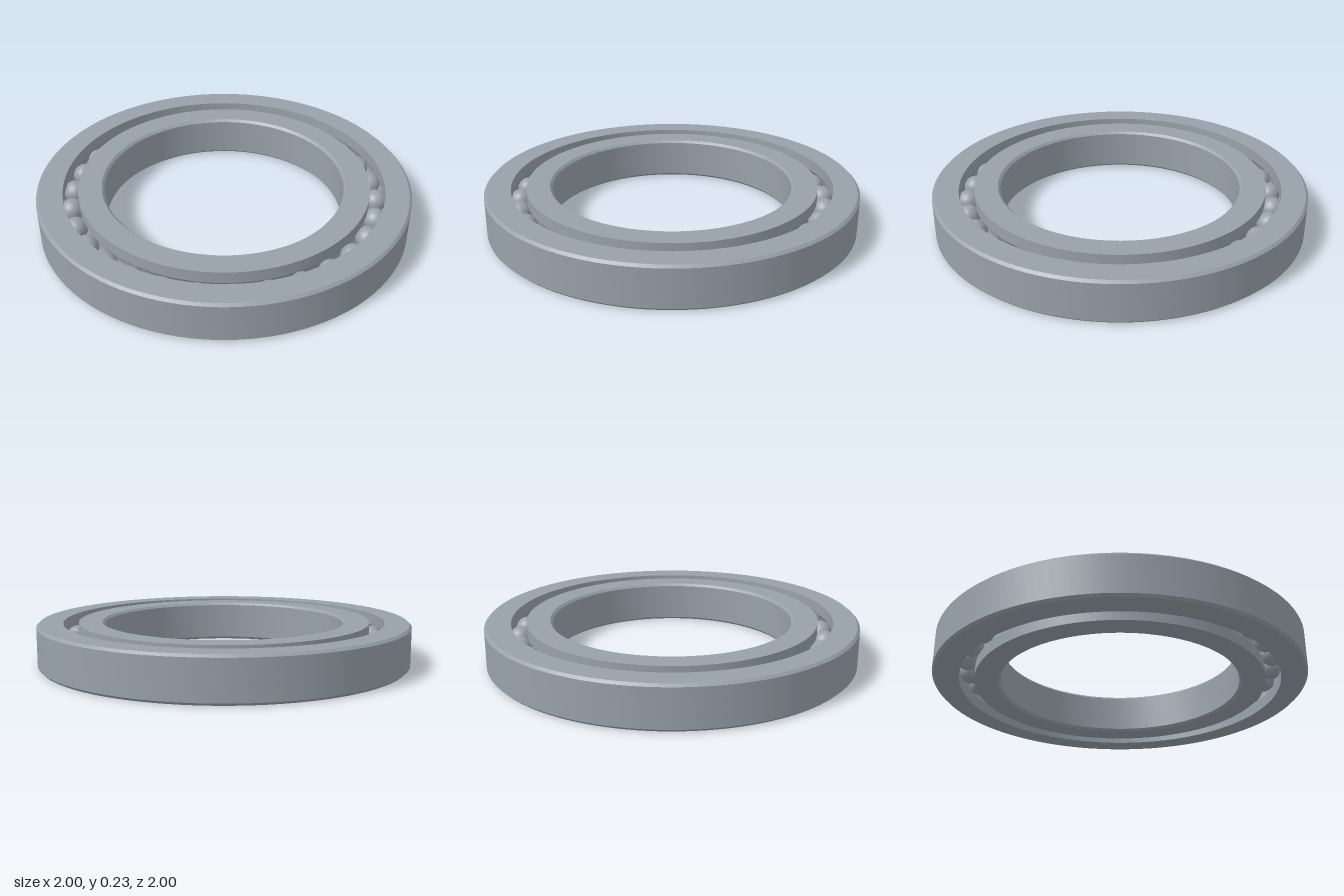
import * as THREE from 'three';
import { toCreasedNormals } from 'three/addons/utils/BufferGeometryUtils.js';

const H = 0.226;        // ring height
const BORE = 0.643;     // radius of the bore
const PITCH = 0.821;    // radius of the ball circle
const GAP = 0.04;       // half the gap between the rings
const BALL = 0.062;     // ball radius
const GROOVE = 0.0635;  // raceway radius
const C = 0.013;        // edge chamfer
const BALLS = 30;

// Raceway arc between the two lips; side = 1 for the outer ring, -1 for the inner ring
function raceway(side) {
  const half = Math.acos(GAP / GROOVE), steps = 14, points = [];
  for (let i = 0; i <= steps; i++) {
    const t = half - (2 * half * i) / steps;
    points.push([PITCH + side * GROOVE * Math.cos(t), H / 2 + side * GROOVE * Math.sin(t)]);
  }
  return points;
}

// Revolve a closed counter-clockwise profile, keeping its corners sharp
function ring(name, profile, material) {
  const points = [...profile, profile[0]].map(([r, y]) => new THREE.Vector2(r, y));
  const mesh = new THREE.Mesh(toCreasedNormals(new THREE.LatheGeometry(points, 128), 0.5), material);
  mesh.name = name;
  return mesh;
}

export function createModel() {
  const model = new THREE.Group();
  model.name = 'ballBearing';
  const steel = new THREE.MeshStandardMaterial({ color: 0x98a1ab });
  steel.name = 'steel';

  // Outer ring: chamfered outside, grooved inside
  const outerLip = PITCH + GAP;
  model.add(ring('outerRing', [
    [outerLip, 0], [1 - C, 0], [1, C], [1, H - C], [1 - C, H], [outerLip, H],
    ...raceway(1),
  ], steel));

  // Inner ring: chamfered bore, grooved outside
  const innerLip = PITCH - GAP;
  model.add(ring('innerRing', [
    [innerLip, H], [BORE + C, H], [BORE, H - C], [BORE, C], [BORE + C, 0], [innerLip, 0],
    ...raceway(-1),
  ], steel));

  // Balls evenly spaced in the raceway
  const balls = new THREE.Group();
  balls.name = 'balls';
  const ballGeometry = new THREE.SphereGeometry(BALL, 32, 20);
  for (let i = 0; i < BALLS; i++) {
    const a = (i / BALLS) * Math.PI * 2;
    const ball = new THREE.Mesh(ballGeometry, steel);
    ball.name = 'ball';
    ball.position.set(PITCH * Math.cos(a), H / 2, PITCH * Math.sin(a));
    balls.add(ball);
  }
  model.add(balls);
  return model;
}
